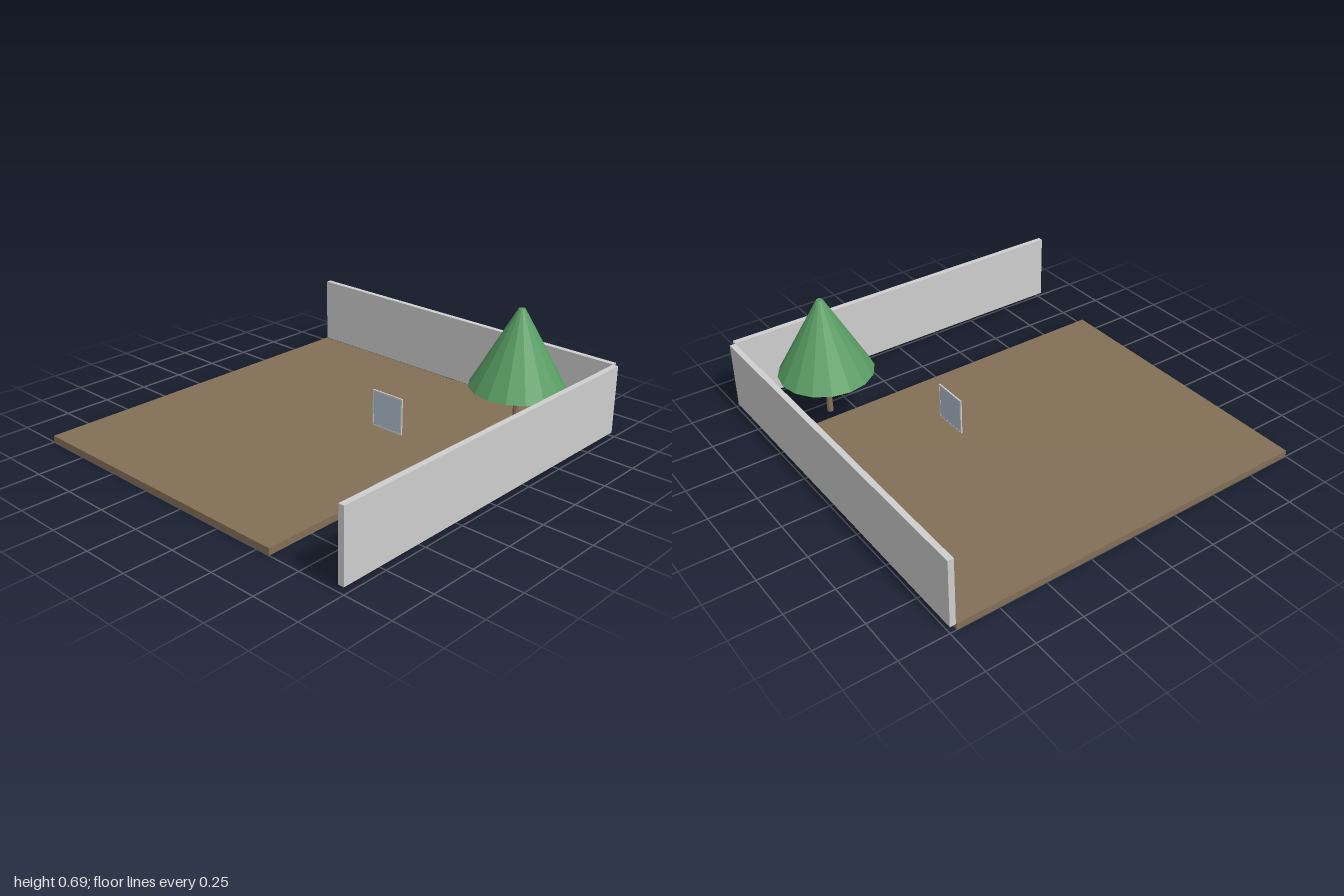
import * as THREE from 'three';

const material = (name, color, flatShading = false) => {
  const m = new THREE.MeshStandardMaterial({ color, flatShading });
  m.name = name;
  return m;
};

export function createModel() {
  const model = new THREE.Group();
  model.name = 'walledYard';

  const wood = material('earthBrown', 0x836f57, true);
  const wallGrey = material('wallGrey', 0xcecece);
  const glass = material('paleBlueGlass', 0xafbfd0);
  const leaf = material('leafGreen', 0x5a9e64, true);

  const add = (name, geometry, mat, x = 0, y = 0, z = 0, parent = model) => {
    const mesh = new THREE.Mesh(geometry, mat);
    mesh.name = name;
    mesh.position.set(x, y, z);
    parent.add(mesh);
    return mesh;
  };

  // Box given by its lower and upper corners
  const block = (name, mat, [x0, y0, z0], [x1, y1, z1], parent = model) =>
    add(name, new THREE.BoxGeometry(x1 - x0, y1 - y0, z1 - z0), mat,
      (x0 + x1) / 2, (y0 + y1) / 2, (z0 + z1) / 2, parent);

  const ground = 0.035, wallTop = 0.395;

  // Floor slab and the two boundary walls
  block('floor', wood, [-1, 0, -0.968], [0.575, ground, 1]);
  block('backWall', wallGrey, [-1, ground, -1], [0.968, wallTop, -0.97]);
  block('sideWall', wallGrey, [0.97, ground, -0.968], [1, wallTop, 1]);

  // Free-standing window: a thin frame with a pane inside
  const windowGroup = new THREE.Group();
  windowGroup.name = 'window';
  model.add(windowGroup);
  const [x0, x1, y0, y1, z, rim] = [0.065, 0.258, ground, 0.232, -0.208, 0.008];
  const frame = new THREE.Shape([
    new THREE.Vector2(x0, y0), new THREE.Vector2(x1, y0),
    new THREE.Vector2(x1, y1), new THREE.Vector2(x0, y1),
  ]);
  frame.holes.push(new THREE.Path([
    new THREE.Vector2(x0 + rim, y0 + rim), new THREE.Vector2(x0 + rim, y1 - rim),
    new THREE.Vector2(x1 - rim, y1 - rim), new THREE.Vector2(x1 - rim, y0 + rim),
  ]));
  add('windowFrame', new THREE.ExtrudeGeometry(frame, { depth: 0.008, bevelEnabled: false }),
    wallGrey, 0, 0, z - 0.004, windowGroup);
  block('windowPane', glass, [x0 + rim, y0 + rim, z - 0.003], [x1 - rim, y1 - rim, z + 0.003], windowGroup);

  // Tree: tapered trunk and a faceted cone with a small flat tip
  const tree = new THREE.Group();
  tree.name = 'tree';
  tree.position.set(0.637, 0, -0.64);
  model.add(tree);
  const crownBase = 0.28, crownTop = 0.69;
  add('trunk', new THREE.CylinderGeometry(0.013, 0.017, crownBase - ground, 8), wood,
    0, (ground + crownBase) / 2, 0, tree);
  add('crown', new THREE.CylinderGeometry(0.017, 0.245, crownTop - crownBase, 16), leaf,
    0, (crownBase + crownTop) / 2, 0, tree);

  return model;
}
